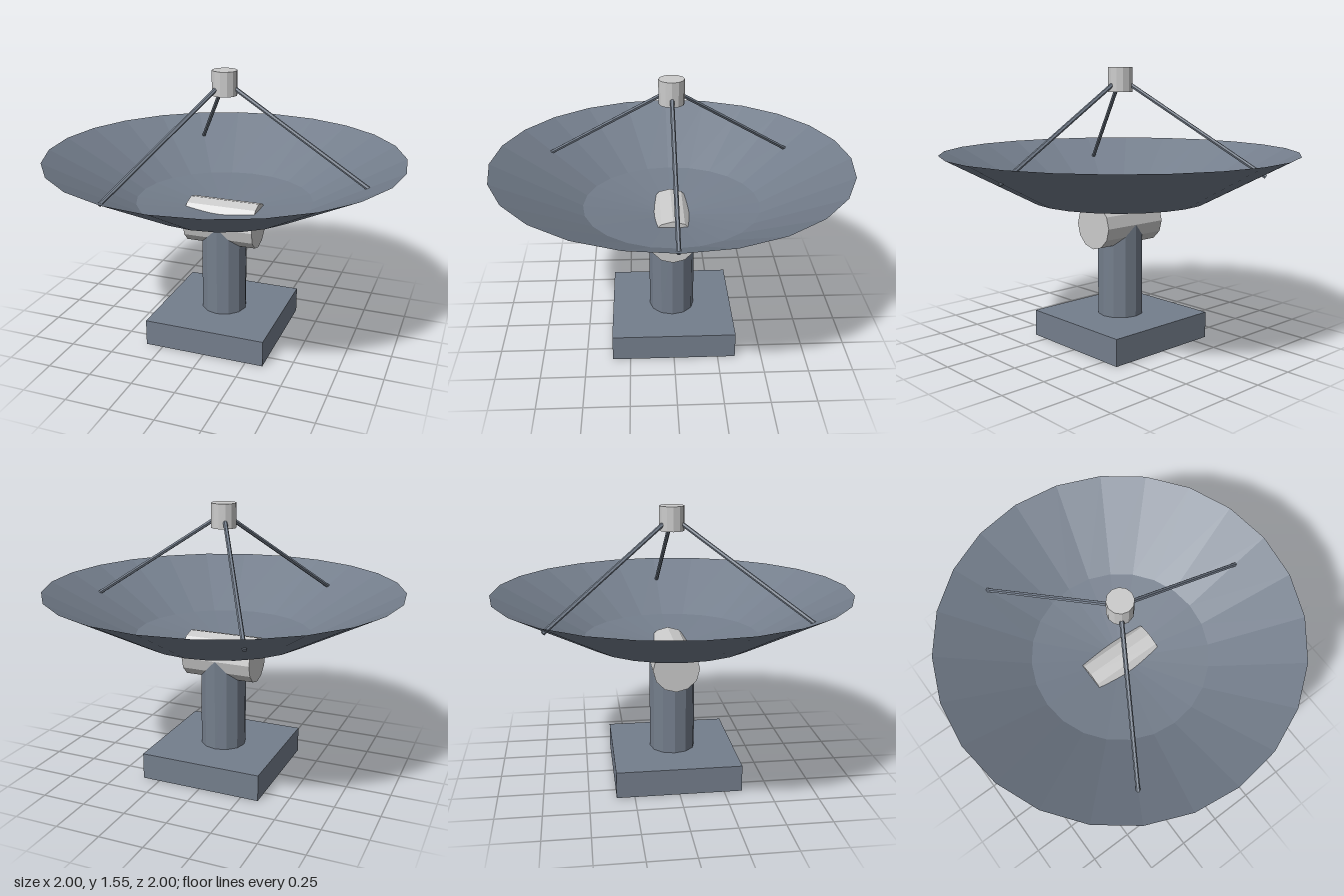
import * as THREE from 'three';

const steel = (extra = {}) => new THREE.MeshStandardMaterial({ color: 0x747e8c, flatShading: true, ...extra });
const pale = () => new THREE.MeshStandardMaterial({ color: 0xcccccc, flatShading: true });

export function createModel() {
  const model = new THREE.Group();
  model.name = 'dishAntenna';

  const add = (name, geometry, material, x = 0, y = 0, z = 0) => {
    const mesh = new THREE.Mesh(geometry, material);
    mesh.name = name;
    mesh.position.set(x, y, z);
    model.add(mesh);
    return mesh;
  };

  // Square foot and upright pillar
  add('base', new THREE.BoxGeometry(0.7, 0.15, 0.7), steel(), 0, 0.075, 0);
  add('pillar', new THREE.CylinderGeometry(0.13, 0.13, 0.53, 12), steel(), 0, 0.415, 0);

  // Horizontal pivot drum; its top shows through the dish floor
  const drum = new THREE.CylinderGeometry(0.13, 0.13, 0.41, 12).rotateZ(Math.PI / 2);
  add('pivotDrum', drum, pale(), 0, 0.68, 0);

  // Thin faceted dish
  const profile = [[0, 0.745], [0.5, 0.815], [1, 1.08]].map(([r, y]) => new THREE.Vector2(r, y));
  add('dish', new THREE.LatheGeometry(profile, 24), steel({ side: THREE.DoubleSide }));

  // Feed horn above the centre
  add('feedHorn', new THREE.CylinderGeometry(0.07, 0.07, 0.135, 12), pale(), 0, 1.482, 0);

  // Three struts from the horn down through the dish
  for (let i = 0; i < 3; i++) {
    const a = (i * Math.PI * 2) / 3;
    const at = (r, y) => new THREE.Vector3(r * Math.cos(a), y, r * Math.sin(a));
    const top = at(0.05, 1.46), foot = at(0.815, 0.97);
    const axis = top.clone().sub(foot);
    const strut = add('strut' + (i + 1), new THREE.CylinderGeometry(0.012, 0.012, axis.length(), 6), steel());
    strut.position.copy(top).add(foot).multiplyScalar(0.5);
    strut.quaternion.setFromUnitVectors(new THREE.Vector3(0, 1, 0), axis.normalize());
  }

  return model;
}
